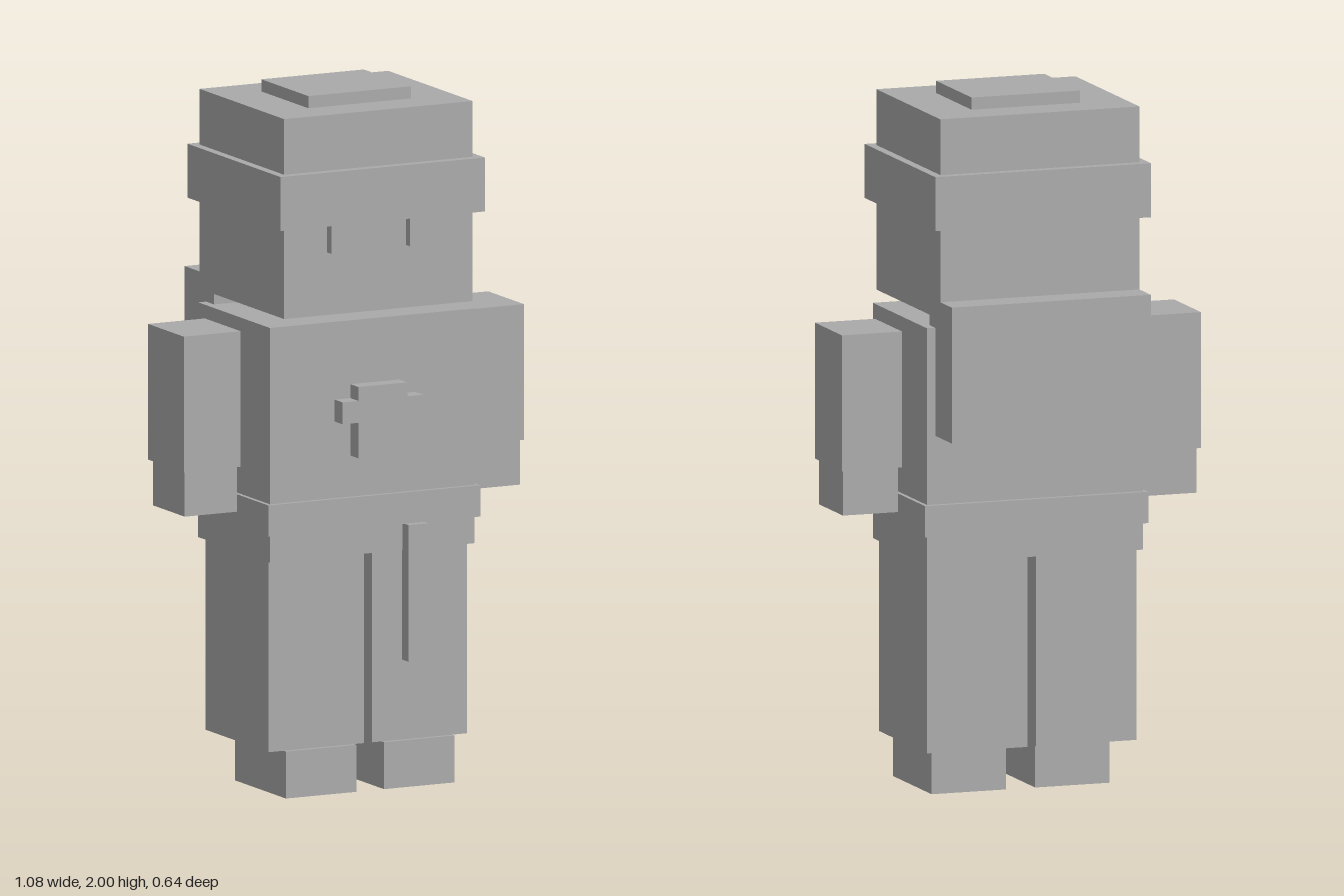
import * as THREE from 'three';

export function createModel() {
  const model = new THREE.Group();
  model.name = 'blockFigure';
  const grey = new THREE.MeshStandardMaterial({ color: 0xaaaaaa });
  grey.name = 'plain grey';

  // Adds a box given its extents along each axis
  function box(name, [x0, x1], [y0, y1], [z0, z1]) {
    const mesh = new THREE.Mesh(new THREE.BoxGeometry(x1 - x0, y1 - y0, z1 - z0), grey);
    mesh.position.set((x0 + x1) / 2, (y0 + y1) / 2, (z0 + z1) / 2);
    mesh.name = name;
    model.add(mesh);
  }

  // Adds the same box on both sides
  function pair(name, [x0, x1], y, z) {
    box('left' + name, [x0, x1], y, z);
    box('right' + name, [-x1, -x0], y, z);
  }

  // Adds a flat outline extruded between two depths
  function slab(name, points, z0, z1) {
    const shape = new THREE.Shape(points.map(([x, y]) => new THREE.Vector2(x, y)));
    const geometry = new THREE.ExtrudeGeometry(shape, { depth: z1 - z0, bevelEnabled: false });
    const mesh = new THREE.Mesh(geometry, grey);
    mesh.position.z = z0;
    mesh.name = name;
    model.add(mesh);
  }

  // Head and hat
  box('head', [-0.3, 0.3], [1.39, 1.66], [-0.227, 0.293]);
  box('hatBand', [-0.325, 0.325], [1.65, 1.805], [-0.254, 0.32]);
  slab('hatFringe', [
    [-0.325, 1.65], [-0.163, 1.65], [-0.163, 1.57], [-0.087, 1.57], [-0.087, 1.65],
    [0.087, 1.65], [0.087, 1.57], [0.163, 1.57], [0.163, 1.65], [0.325, 1.65],
    [0.325, 1.7], [-0.325, 1.7],
  ], 0.29, 0.32);
  box('hatCrown', [-0.3, 0.3], [1.8, 1.965], [-0.227, 0.293]);
  box('hatButton', [-0.163, 0.163], [1.965, 2], [-0.112, 0.177]);

  // Torso, belt and backpack
  box('torso', [-0.325, 0.325], [0.685, 1.36], [-0.187, 0.254]);
  box('belt', [-0.337, 0.337], [0.763, 0.853], [-0.203, 0.268]);
  box('backpack', [-0.3, 0.3], [1.05, 1.44], [-0.32, -0.138]);

  // Chest cross and hanging belt strap
  slab('chestEmblem', [
    [-0.078, 0.975], [0.078, 0.975], [0.078, 1.077], [0.128, 1.077], [0.128, 1.14], [0.078, 1.14],
    [0.078, 1.18], [-0.078, 1.18], [-0.078, 1.14], [-0.128, 1.14], [-0.128, 1.077], [-0.078, 1.077],
  ], 0.271, 0.32);
  box('strap', [0.096, 0.16], [0.37, 0.763], [0.253, 0.291]);

  // Arms, hands, legs and feet
  pair('Arm', [0.36, 0.541], [0.945, 1.335], [-0.078, 0.142]);
  pair('Hand', [0.367, 0.533], [0.815, 0.945], [-0.064, 0.132]);
  pair('Leg', [0.013, 0.316], [0.135, 0.685], [-0.16, 0.228]);
  pair('Foot', [0.044, 0.268], [0, 0.135], [-0.07, 0.242]);

  return model;
}
